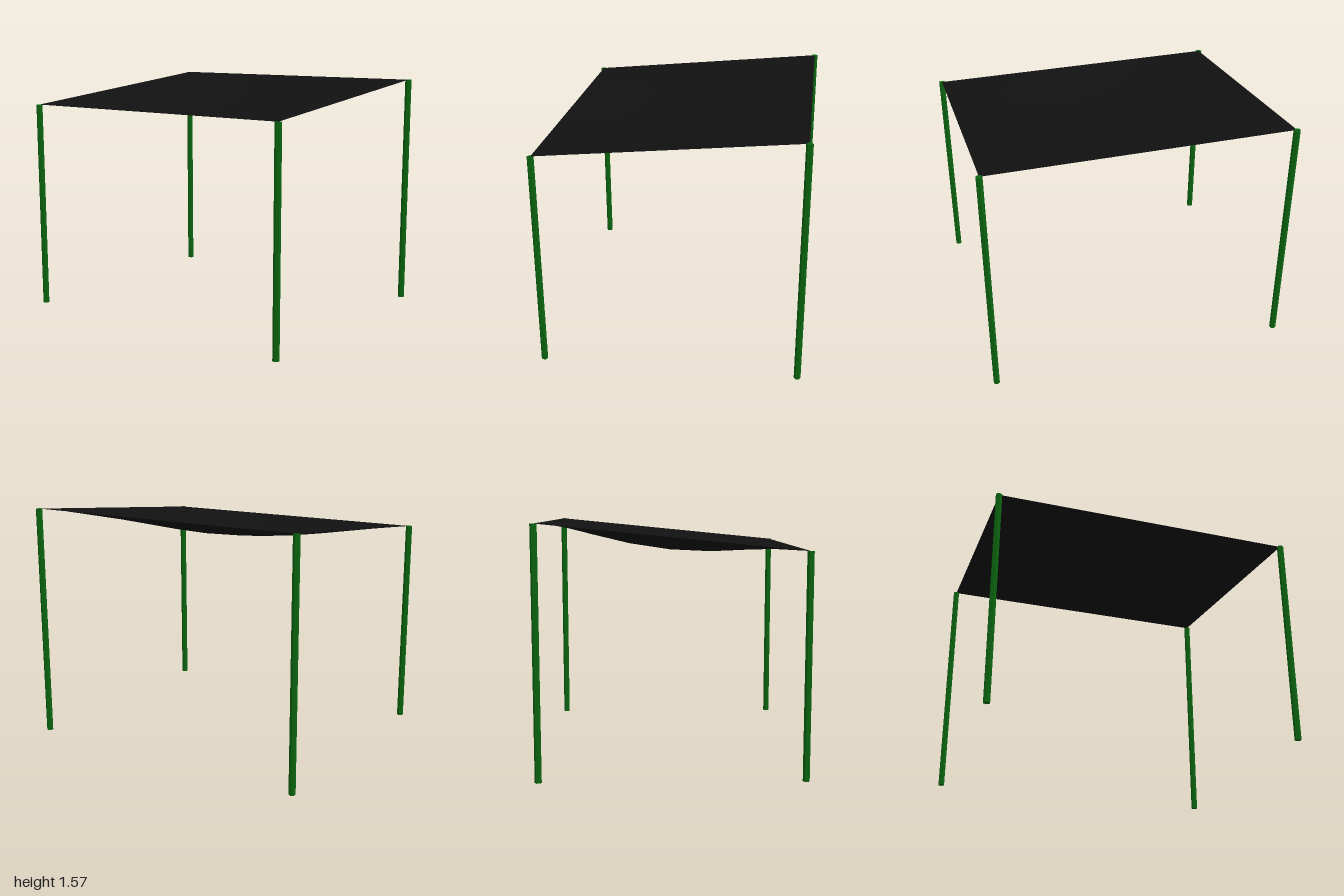
import * as THREE from 'three';

const X = 0.981, Z = 0.818;            // post centres
const FRONT_Y = 1.405, BACK_Y = 1.567; // post heights
const SAG = 0.115;

export function createModel() {
  const group = new THREE.Group();
  const postMat = new THREE.MeshStandardMaterial({ color: 0x0b640f, flatShading: true });
  const clothMat = new THREE.MeshStandardMaterial({ color: 0x111111, side: THREE.DoubleSide });

  // Four hexagonal posts, the back pair taller
  for (const [end, z, h] of [['front', Z, FRONT_Y], ['back', -Z, BACK_Y]]) {
    for (const [side, x] of [['Left', X], ['Right', -X]]) {
      const post = new THREE.Mesh(new THREE.CylinderGeometry(0.0215, 0.0215, h, 6), postMat);
      post.name = `${end}${side}Post`;
      post.position.set(x, h / 2, z);
      group.add(post);
    }
  }

  // Sloping cloth with straight edges, sagging towards its middle
  const geo = new THREE.PlaneGeometry(2 * X, 2 * Z, 8, 6).rotateX(-Math.PI / 2);
  const p = geo.attributes.position;
  for (let i = 0; i < p.count; i++) {
    const u = p.getX(i) / (2 * X) + 0.5, v = p.getZ(i) / (2 * Z) + 0.5;
    const sag = SAG * Math.sin(Math.PI * u) * Math.sin(Math.PI * v);
    p.setY(i, THREE.MathUtils.lerp(BACK_Y, FRONT_Y, v) - sag);
  }
  geo.computeVertexNormals();
  const canopy = new THREE.Mesh(geo, clothMat);
  canopy.name = 'canopy';
  group.add(canopy);

  return group;
}
